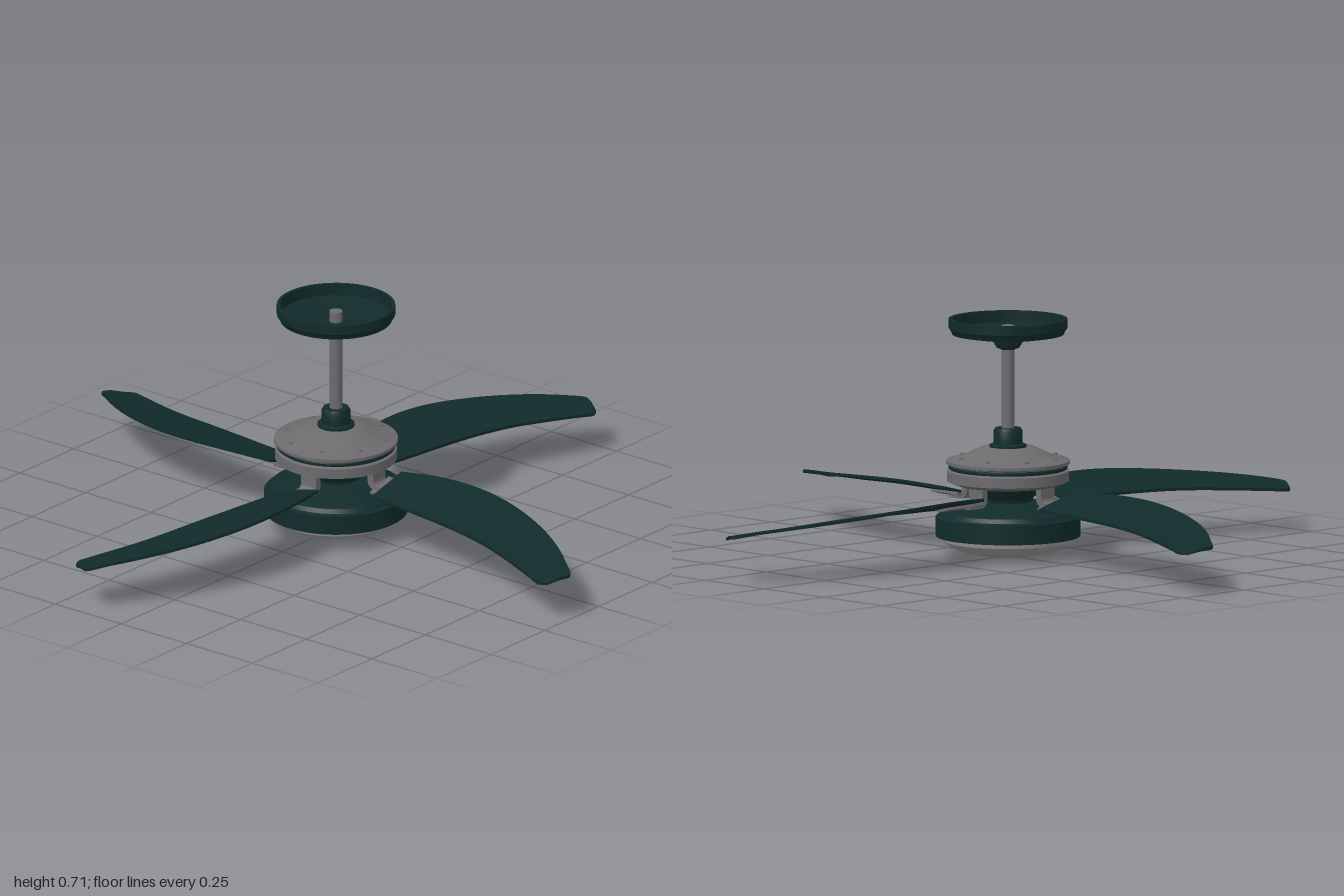
import * as THREE from 'three';
import { toCreasedNormals } from 'three/addons/utils/BufferGeometryUtils.js';

const mat = (name, color, side = THREE.FrontSide) => {
  const m = new THREE.MeshStandardMaterial({ color, side });
  m.name = name;
  return m;
};

// Blade stations: [x, y, z] of the trailing (high) edge, then of the leading (low) edge
const STATIONS = [
  [0.18, 0.200, -0.085, 0.18, 0.165, 0.050],
  [0.30, 0.207, -0.108, 0.30, 0.164, 0.064],
  [0.42, 0.207, -0.116, 0.44, 0.163, 0.082],
  [0.54, 0.201, -0.105, 0.56, 0.160, 0.100],
  [0.66, 0.191, -0.073, 0.67, 0.154, 0.121],
  [0.78, 0.179, -0.022, 0.76, 0.147, 0.147],
  [0.88, 0.167, 0.037, 0.84, 0.141, 0.175],
  [0.95, 0.156, 0.090, 0.90, 0.136, 0.197],
  [1.00, 0.145, 0.133, 0.94, 0.132, 0.211],
  [0.99, 0.143, 0.160, 0.965, 0.131, 0.200],
];

// Thin pitched blade lofted between its two edge curves
function bladeGeometry() {
  const edge = (o) => new THREE.CatmullRomCurve3(
    STATIONS.map((s) => new THREE.Vector3(s[o], s[o + 1], s[o + 2])));
  const back = edge(0), front = edge(3);
  const n = 36, thick = 0.009, pos = [], idx = [];
  for (let i = 0; i <= n; i++) {
    const b = back.getPoint(i / n), f = front.getPoint(i / n);
    pos.push(b.x, b.y, b.z, f.x, f.y, f.z);
    pos.push(f.x, f.y - thick, f.z, b.x, b.y - thick, b.z);
  }
  for (let i = 0; i < n; i++) {
    for (let j = 0; j < 4; j++) {
      const a = i * 4 + j, b = i * 4 + (j + 1) % 4;
      idx.push(a, b, b + 4, a, b + 4, a + 4);
    }
  }
  const e = n * 4;
  idx.push(0, 2, 1, 0, 3, 2, e, e + 1, e + 2, e, e + 2, e + 3);
  const g = new THREE.BufferGeometry();
  g.setAttribute('position', new THREE.Float32BufferAttribute(pos, 3));
  g.setIndex(idx);
  return toCreasedNormals(g, 0.6);
}

export function createModel() {
  const fan = new THREE.Group();
  fan.name = 'ceilingFan';
  const green = mat('darkGreen', 0x112a2a, THREE.DoubleSide);
  const metal = mat('greyMetal', 0x6c6a6c);
  const glass = mat('frostedGlass', 0x949492);

  const add = (parent, name, geometry, material) => {
    const m = new THREE.Mesh(geometry, material);
    m.name = name;
    parent.add(m);
    return m;
  };
  // Turned part from [radius, y] points listed bottom to top
  const turned = (name, pts, material) => add(fan, name, toCreasedNormals(
    new THREE.LatheGeometry(pts.map((p) => new THREE.Vector2(...p)), 48), 0.5), material);

  // Light bowl and its holder
  turned('lightBowl', [[0, 0.003], [0.05, 0.005], [0.1, 0.011], [0.145, 0.022],
    [0.175, 0.036], [0.19, 0.05], [0.194, 0.068]], glass);
  turned('lightHolder', [[0.19, 0.064], [0.213, 0.064], [0.213, 0.122], [0.203, 0.126],
    [0.195, 0.138], [0.165, 0.15], [0.11, 0.162], [0.075, 0.168], [0, 0.168]], green);
  turned('hub', [[0.07, 0.16], [0.075, 0.178], [0.098, 0.2], [0.105, 0.22]], green);

  // Motor housing with stepped rims
  turned('motorHousing', [[0, 0.216], [0.15, 0.216], [0.165, 0.222], [0.18, 0.228],
    [0.18, 0.258], [0.172, 0.262], [0.172, 0.276], [0.183, 0.28], [0.183, 0.289],
    [0.168, 0.293], [0.135, 0.302], [0.105, 0.316], [0.08, 0.328], [0, 0.33]], metal);
  turned('housingSeam', [[0.172, 0.263], [0.176, 0.266], [0.176, 0.272], [0.172, 0.275]], green);

  // Coupling, rod and ceiling canopy
  turned('coupling', [[0.055, 0.325], [0.055, 0.335], [0.043, 0.34], [0.043, 0.375],
    [0.038, 0.385], [0, 0.385]], green);
  const rod = add(fan, 'downRod', new THREE.CylinderGeometry(0.019, 0.019, 0.31, 24), metal);
  rod.position.y = 0.535;
  turned('canopyBall', [[0.02, 0.618], [0.034, 0.624], [0.042, 0.638], [0.046, 0.656]], green);
  turned('canopy', [[0.02, 0.648], [0.07, 0.65], [0.12, 0.656], [0.165, 0.664], [0.17, 0.676],
    [0.175, 0.682], [0.175, 0.71], [0.164, 0.71], [0.164, 0.675], [0.12, 0.665],
    [0.02, 0.658]], green);

  // Housing screws
  for (let i = 0; i < 8; i++) {
    const a = (i + 0.5) * Math.PI / 4;
    const s = add(fan, 'housingScrew', new THREE.CylinderGeometry(0.006, 0.006, 0.006, 10), metal);
    s.position.set(0.15 * Math.cos(a), 0.299, 0.15 * Math.sin(a));
  }

  // Blade iron: hooked arm and a tapered plate under the blade
  const hook = new THREE.Shape();
  hook.moveTo(0.128, 0.224);
  hook.lineTo(0.128, 0.19);
  hook.quadraticCurveTo(0.13, 0.163, 0.155, 0.163);
  hook.lineTo(0.2, 0.163);
  hook.lineTo(0.2, 0.175);
  hook.lineTo(0.162, 0.175);
  hook.quadraticCurveTo(0.15, 0.177, 0.15, 0.19);
  hook.lineTo(0.15, 0.224);
  const hookGeo = new THREE.ExtrudeGeometry(hook, { depth: 0.056, bevelEnabled: false });
  hookGeo.translate(0, 0, -0.046);
  const plate = new THREE.Shape([[0.15, -0.045], [0.2, -0.045], [0.285, -0.022],
    [0.285, 0.022], [0.2, 0.045], [0.15, 0.045]].map((p) => new THREE.Vector2(...p)));
  const plateGeo = new THREE.ExtrudeGeometry(plate, { depth: 0.008, bevelEnabled: false });
  plateGeo.rotateX(Math.PI / 2);
  plateGeo.rotateX(0.25);
  plateGeo.translate(0, 0.173, -0.018);

  // Four identical blades around the hub
  const bladeGeo = bladeGeometry();
  for (let i = 0; i < 4; i++) {
    const arm = new THREE.Group();
    arm.name = 'bladeAssembly';
    arm.rotation.y = i * Math.PI / 2;
    add(arm, 'blade', bladeGeo, green);
    add(arm, 'bladeArm', hookGeo, metal);
    add(arm, 'bladePlate', plateGeo, metal);
    fan.add(arm);
  }
  return fan;
}
